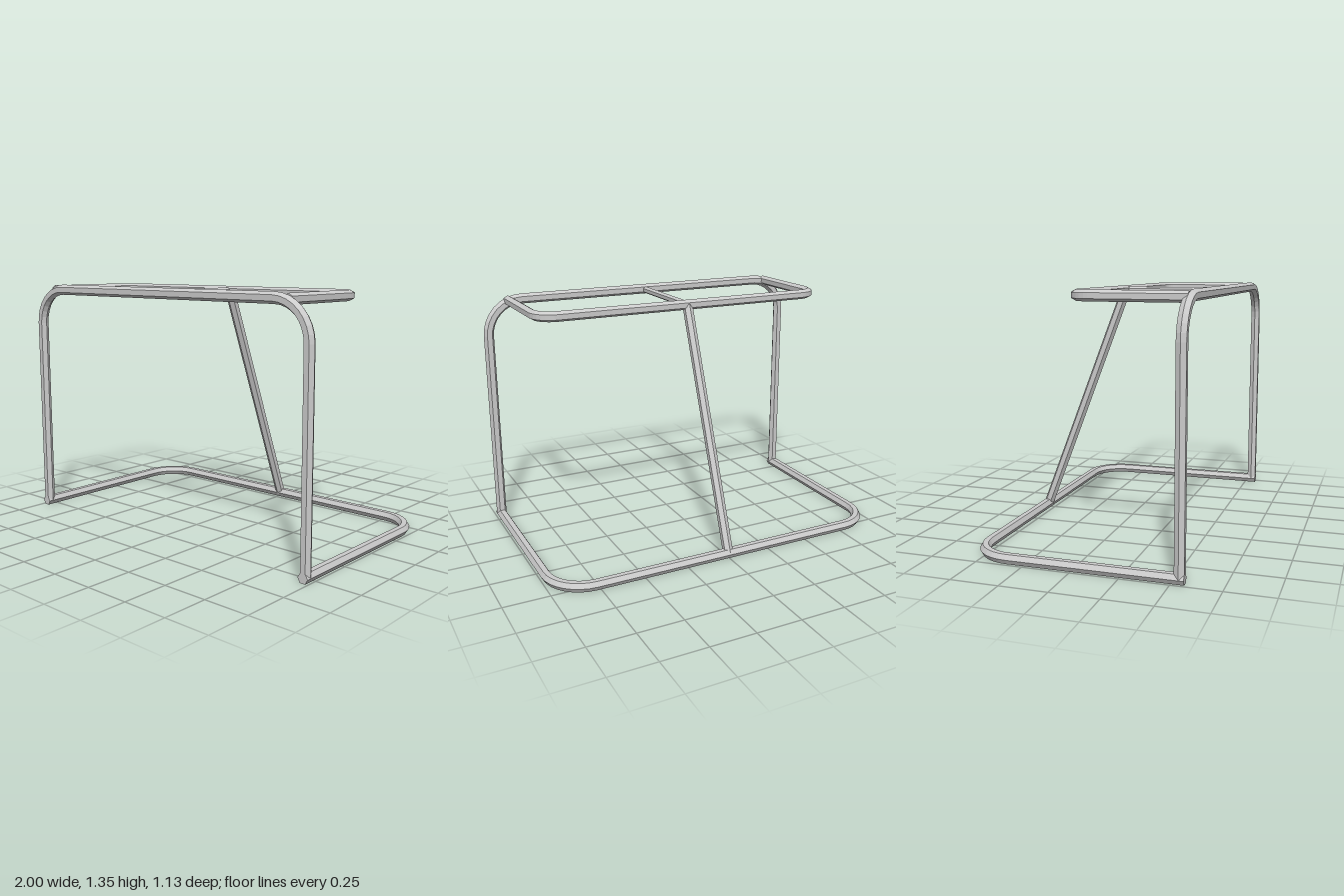
import * as THREE from 'three';

const SIDES = 6;
const V = (x, y, z) => new THREE.Vector3(x, y, z);

// Hexagonal tube swept along a path lying in the plane with the given normal
function hexTube(name, path, normal, radius, phase = 0) {
  const rings = path.map((p, i) => {
    const prev = path[Math.max(i - 1, 0)];
    const next = path[Math.min(i + 1, path.length - 1)];
    const dirIn = p.clone().sub(prev).normalize();
    const dirOut = next.clone().sub(p).normalize();
    const side = normal.clone().cross(dirIn.add(dirOut).normalize());
    return Array.from({ length: SIDES }, (_, k) => {
      const a = phase + (k / SIDES) * Math.PI * 2;
      return p.clone()
        .addScaledVector(side, Math.cos(a) * radius)
        .addScaledVector(normal, Math.sin(a) * radius);
    });
  });

  const tri = [];
  for (let i = 0; i < rings.length - 1; i++) {
    const a = rings[i], b = rings[i + 1];
    for (let k = 0; k < SIDES; k++) {
      const n = (k + 1) % SIDES;
      tri.push(a[k], a[n], b[n], a[k], b[n], b[k]);
    }
  }
  // End caps
  const first = rings[0], last = rings[rings.length - 1];
  for (let k = 1; k < SIDES - 1; k++) {
    tri.push(first[0], first[k + 1], first[k]);
    tri.push(last[0], last[k], last[k + 1]);
  }

  const geometry = new THREE.BufferGeometry().setFromPoints(tri);
  geometry.computeVertexNormals();
  const mesh = new THREE.Mesh(
    geometry,
    new THREE.MeshStandardMaterial({ color: 0xcccccc, flatShading: true })
  );
  mesh.name = name;
  return mesh;
}

// U-shaped path: two legs from legEnd to a crossbar at bar, with round corners
function uPath(halfWidth, legEnd, bar, r, segments, place) {
  const dir = Math.sign(bar - legEnd);
  const half = [[halfWidth, legEnd]];
  for (let i = 0; i <= segments; i++) {
    const a = (i / segments) * Math.PI / 2;
    half.push([
      halfWidth - r + r * Math.cos(a),
      bar - dir * r + dir * r * Math.sin(a),
    ]);
  }
  const mirrored = half.map(([u, v]) => [-u, v]).reverse();
  return [...half, ...mirrored].map(([u, v]) => place(u, v));
}

export function createModel() {
  const group = new THREE.Group();
  group.name = 'goalFrame';
  const X = V(1, 0, 0), Y = V(0, 1, 0), Z = V(0, 0, 1);
  const R = 0.029;

  group.add(
    // Upright posts and crossbar
    hexTube('frontFrame',
      uPath(0.971, 0.025, 1.321, 0.2, 8, (u, v) => V(u, v, 0.541)), Z, R),
    // Ground bar running round the back
    hexTube('baseFrame',
      uPath(0.971, 0.566, -0.538, 0.2, 8, (u, v) => V(u, 0.025, v)), Y, R),
    // Shallow top shelf bar
    hexTube('topFrame',
      uPath(0.848, 0.541, -0.041, 0.1, 8, (u, v) => V(u, 1.317, v)), Y, 0.028, Math.PI / 6),
    // Sloping rear strut
    hexTube('rearStrut', [V(0, 1.317, -0.041), V(0, 0.025, -0.538)], X, 0.028),
    // Thin brace between crossbar and top shelf bar
    hexTube('topBrace', [V(0, 1.317, 0.541), V(0, 1.317, -0.041)], X, 0.02)
  );
  return group;
}
